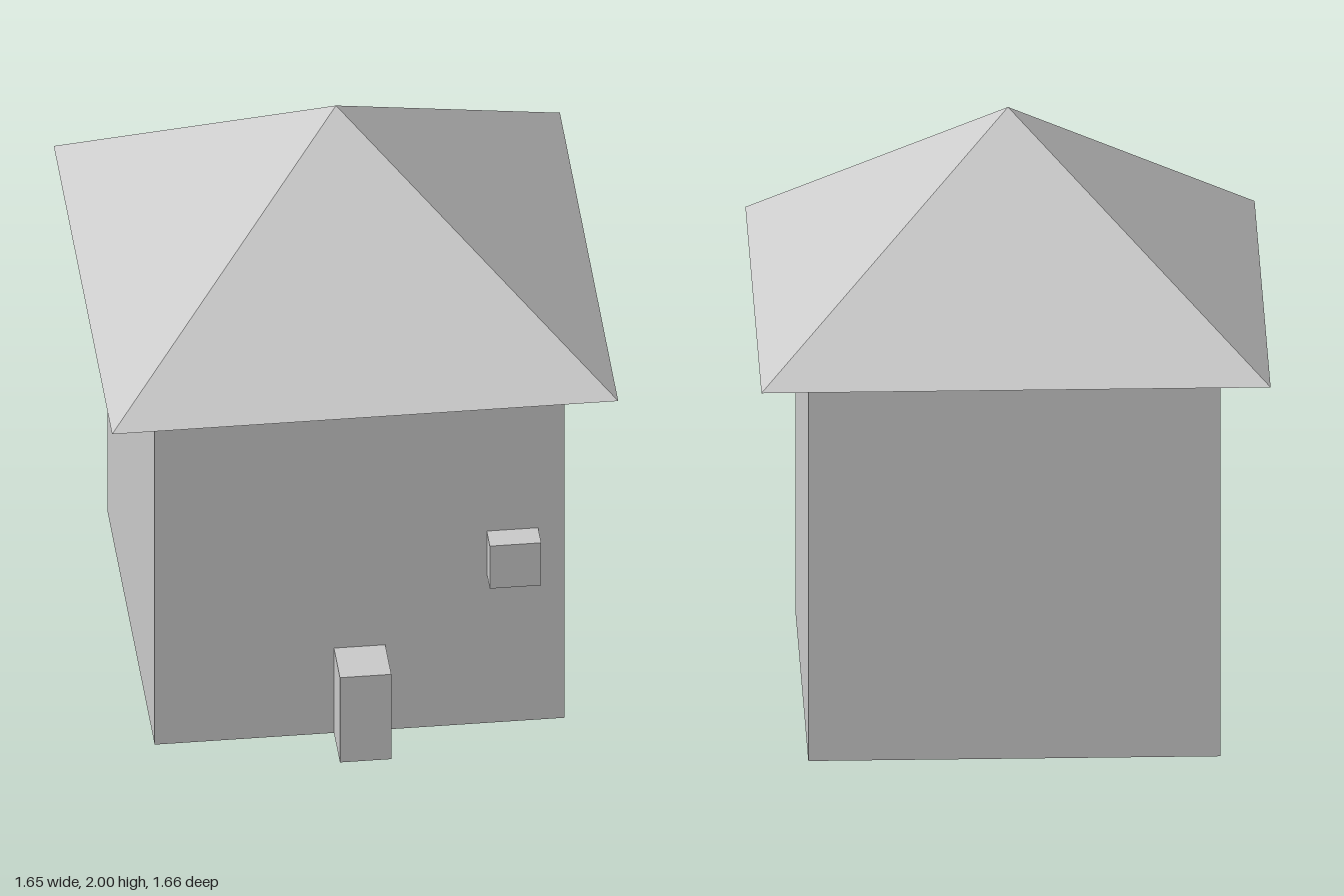
import * as THREE from 'three';

const material = new THREE.MeshStandardMaterial({ color: 0xcccccc, flatShading: true });

function addPart(group, name, geometry, x, y, z) {
  const mesh = new THREE.Mesh(geometry, material);
  mesh.name = name;
  mesh.position.set(x, y, z);
  group.add(mesh);
  return mesh;
}

export function createModel() {
  const house = new THREE.Group();
  house.name = 'house';

  const wall = 1.333, wallHeight = 1.34, centreZ = -0.005;
  const eaves = 1.646, roofHeight = 2 - wallHeight;

  // Cubic body
  addPart(house, 'walls', new THREE.BoxGeometry(wall, wallHeight, wall), 0, wallHeight / 2, centreZ);

  // Four-sided pyramid roof, turned so its eaves run parallel to the walls
  const roof = new THREE.ConeGeometry(eaves / Math.SQRT2, roofHeight, 4);
  roof.rotateY(Math.PI / 4);
  addPart(house, 'roof', roof, 0, wallHeight + roofHeight / 2, centreZ);

  // Door block and window block, half sunk into the front wall
  addPart(house, 'door', new THREE.BoxGeometry(0.167, 0.333, 0.333), 0, 0.1665, 0.664);
  addPart(house, 'window', new THREE.BoxGeometry(0.167, 0.167, 0.167), 0.497, 0.67, 0.664);

  return house;
}
